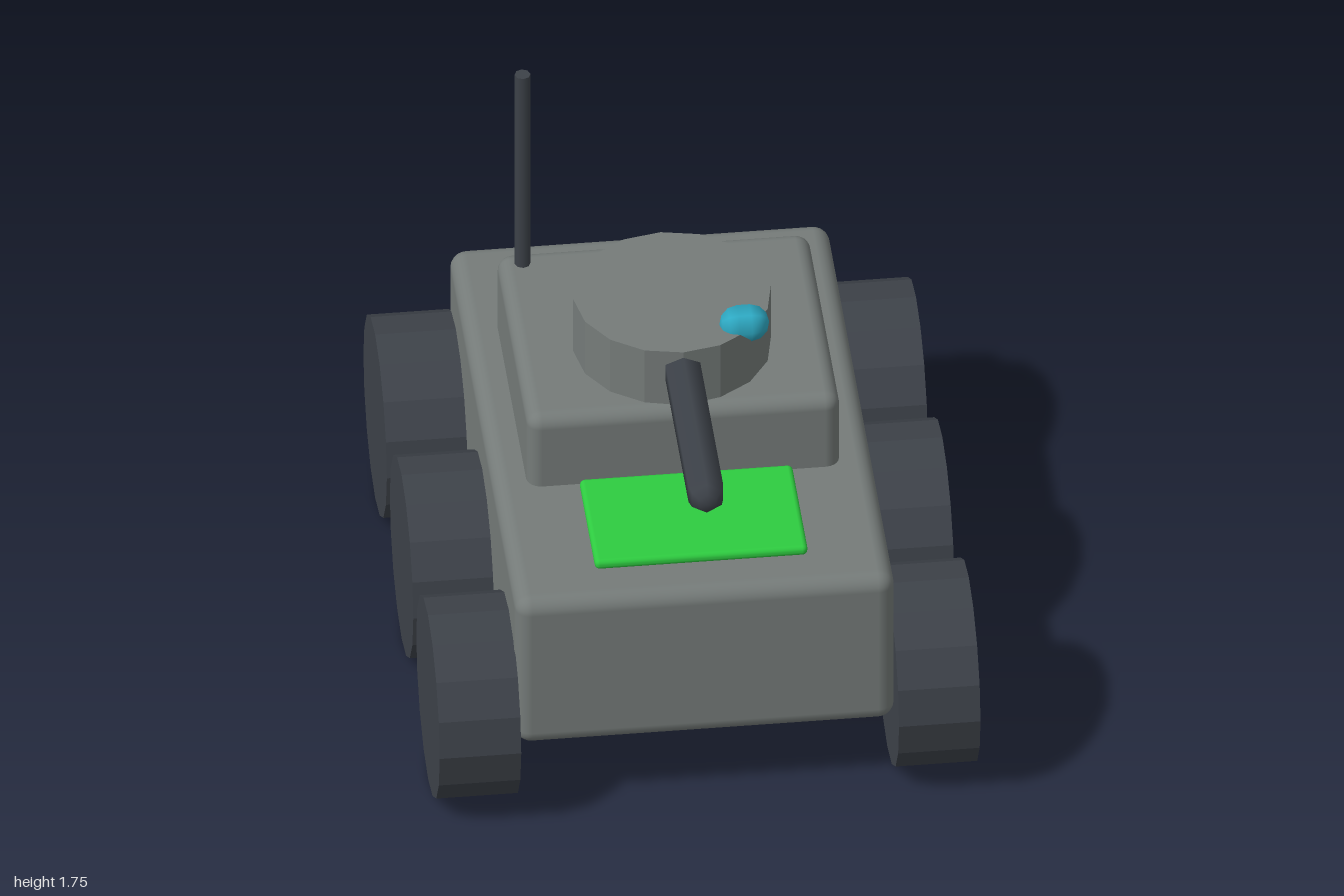
import * as THREE from 'three';
import { RoundedBoxGeometry } from 'three/addons/geometries/RoundedBoxGeometry.js';

function paint(name, color) {
  const m = new THREE.MeshStandardMaterial({ color });
  m.name = name;
  return m;
}

// Cylinder with flat facets
function faceted(radius, height, sides) {
  const g = new THREE.CylinderGeometry(radius, radius, height, sides).toNonIndexed();
  g.computeVertexNormals();
  return g;
}

// Six-sided capsule with a corner on +z
function capsule(radius, length) {
  return new THREE.CapsuleGeometry(radius, length, 3, 6).rotateY(Math.PI / 2);
}

export function createModel() {
  const model = new THREE.Group();
  model.name = 'armouredCar';
  const armour = paint('armour grey', 0x757b79);
  const dark = paint('dark rubber and gunmetal', 0x3d4249);
  const green = paint('signal green', 0x2ecc40);
  const blue = paint('lens blue', 0x2eaac4);

  function add(name, geometry, material, x, y, z) {
    const mesh = new THREE.Mesh(geometry, material);
    mesh.name = name;
    mesh.position.set(x, y, z);
    model.add(mesh);
    return mesh;
  }

  // Body
  add('hull', new RoundedBoxGeometry(1.14, 0.54, 1.775, 3, 0.05), armour, 0, 0.51, 0);
  add('upperDeck', new RoundedBoxGeometry(0.94, 0.36, 0.835, 3, 0.045), armour, 0, 0.855, -0.098);
  add('turret', faceted(0.297, 0.22, 16), armour, 0, 1.12, 0);
  add('frontPanel', new RoundedBoxGeometry(0.64, 0.035, 0.415, 2, 0.016), green, 0, 0.817, 0.568);

  // Gun, lens and aerial
  add('gunBarrel', capsule(0.06, 0.6).rotateX(Math.PI / 2), dark, 0, 1.15, 0.585);
  add('lens', capsule(0.056, 0.038).rotateZ(Math.PI / 2), blue, 0.197, 1.23, 0.175);
  add('aerial', new THREE.CylinderGeometry(0.024, 0.024, 0.8, 8), dark, -0.398, 1.345, -0.446);

  // Three wheels on each side
  const wheel = faceted(0.307, 0.245, 16).rotateZ(Math.PI / 2);
  for (const side of [1, -1]) {
    for (const z of [0.693, 0, -0.693]) {
      add(side > 0 ? 'leftWheel' : 'rightWheel', wheel, dark, side * 0.69, 0.307, z);
    }
  }
  return model;
}
